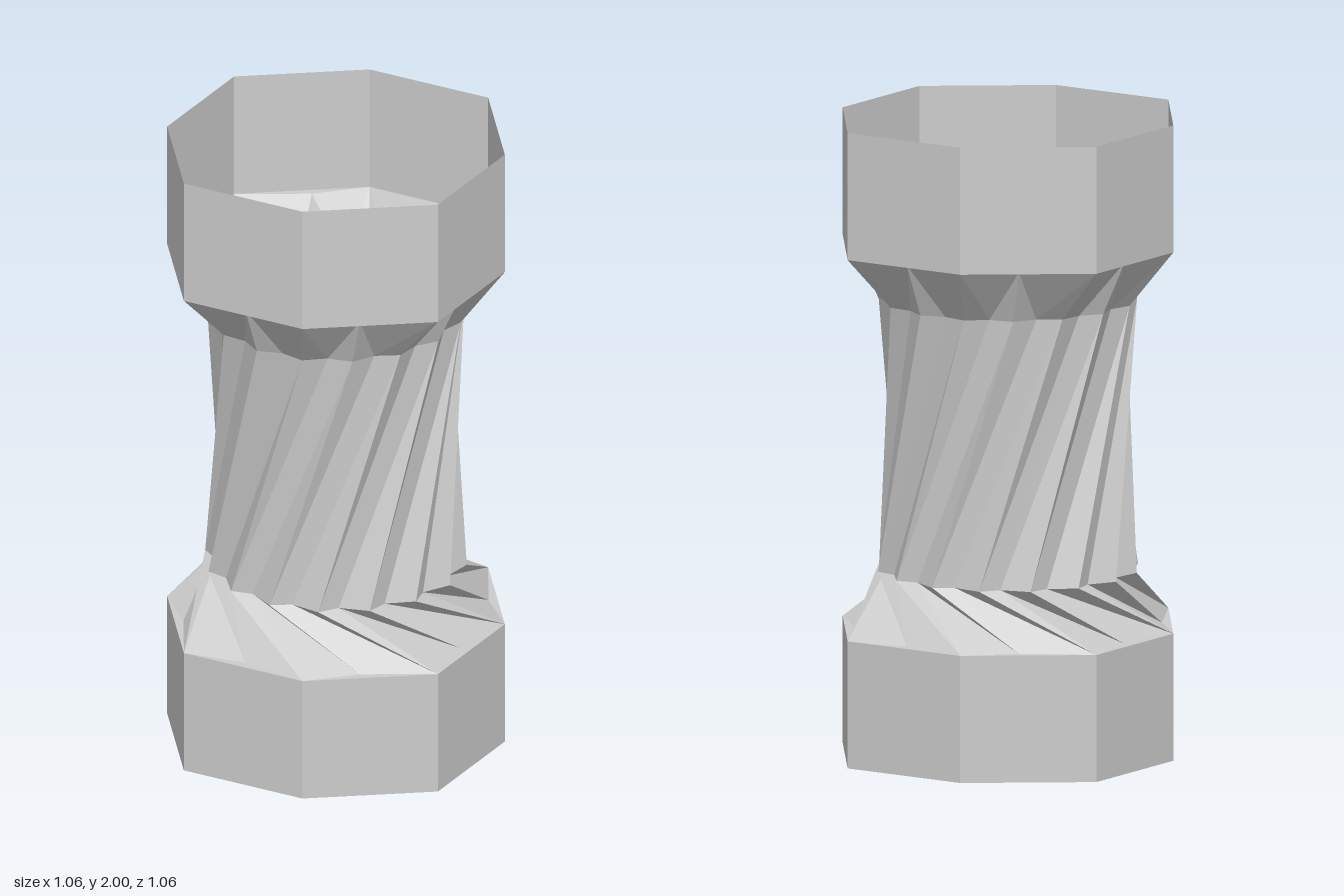
import * as THREE from 'three';

const TEETH = 16;
const STEP = 360 / TEETH;

// Point at an angle in degrees, turning from +x towards +z
function polar(deg, r, y) {
  const a = THREE.MathUtils.degToRad(deg);
  return new THREE.Vector3(r * Math.cos(a), y, r * Math.sin(a));
}

// Octagon whose corners alternate between the axes and (0.4, 0.4)
const octagon = (y) => Array.from({ length: 8 }, (_, k) =>
  polar(k * 45, k % 2 ? 0.566 : 0.532, y));

// Octagon with each edge's midpoint pulled inwards
const notched = (y) => Array.from({ length: TEETH }, (_, k) =>
  k % 2 ? polar(k * STEP + 2.3, 0.477, y) : polar(k * STEP, k % 4 ? 0.566 : 0.532, y));

// Toothed ring: valley, ridge, valley, ridge ...
function toothed(y, turn, valley, rOut, rIn) {
  const pts = [];
  for (let k = 0; k < TEETH; k++) {
    const a = k * STEP + turn;
    pts.push(polar(a - valley, rIn, y), polar(a, rOut, y));
  }
  return pts;
}

// Wall between two rings of equal count
function wall(low, high) {
  const tris = [];
  low.forEach((p, i) => {
    const j = (i + 1) % low.length;
    tris.push(p, high[i], low[j], low[j], high[i], high[j]);
  });
  return tris;
}

// Faceted collar joining a notched octagon to a toothed ring
function collar(edge, ring, ringAbove) {
  const tris = [];
  const add = (a, b, c) => tris.push(...(ringAbove ? [a, b, c] : [a, c, b]));
  for (let k = 0; k < TEETH; k++) {
    const p = edge[k];
    const q = edge[(k + 1) % TEETH];
    const valley = ring[2 * k];
    const ridge = ring[2 * k + 1];
    const next = ring[(2 * k + 2) % ring.length];
    add(p, valley, ridge);
    add(p, ridge, next);
    add(p, next, q);
    // flat sliver between the straight edge and its pulled-in midpoint
    if (k % 2 === 0) add(p, q, edge[(k + 2) % TEETH]);
  }
  return tris;
}

export function createModel() {
  const group = new THREE.Group();
  const material = new THREE.MeshStandardMaterial({
    color: 0xcccccc, flatShading: true, side: THREE.DoubleSide,
  });
  const addPart = (name, tris) => {
    const geometry = new THREE.BufferGeometry().setFromPoints(tris);
    geometry.computeVertexNormals();
    const mesh = new THREE.Mesh(geometry, material);
    mesh.name = name;
    group.add(mesh);
  };

  const neckLow = toothed(0.58, 41.5, 9, 0.408, 0.372);
  const neckHigh = toothed(1.43, 4, 11.25, 0.4, 0.372);
  const foot = octagon(0);

  // closed octagonal base
  const floor = [];
  for (let i = 1; i < 7; i++) floor.push(foot[0], foot[i], foot[i + 1]);
  addPart('floor', floor);
  addPart('baseWall', wall(foot, octagon(0.4)));

  // twisted fluted neck between two collars
  addPart('lowerCollar', collar(notched(0.4), neckLow, true));
  addPart('neck', wall(neckLow, neckHigh));
  addPart('upperCollar', collar(notched(1.6), neckHigh, false));

  // open octagonal rim
  addPart('rimWall', wall(octagon(1.6), octagon(2)));
  return group;
}
